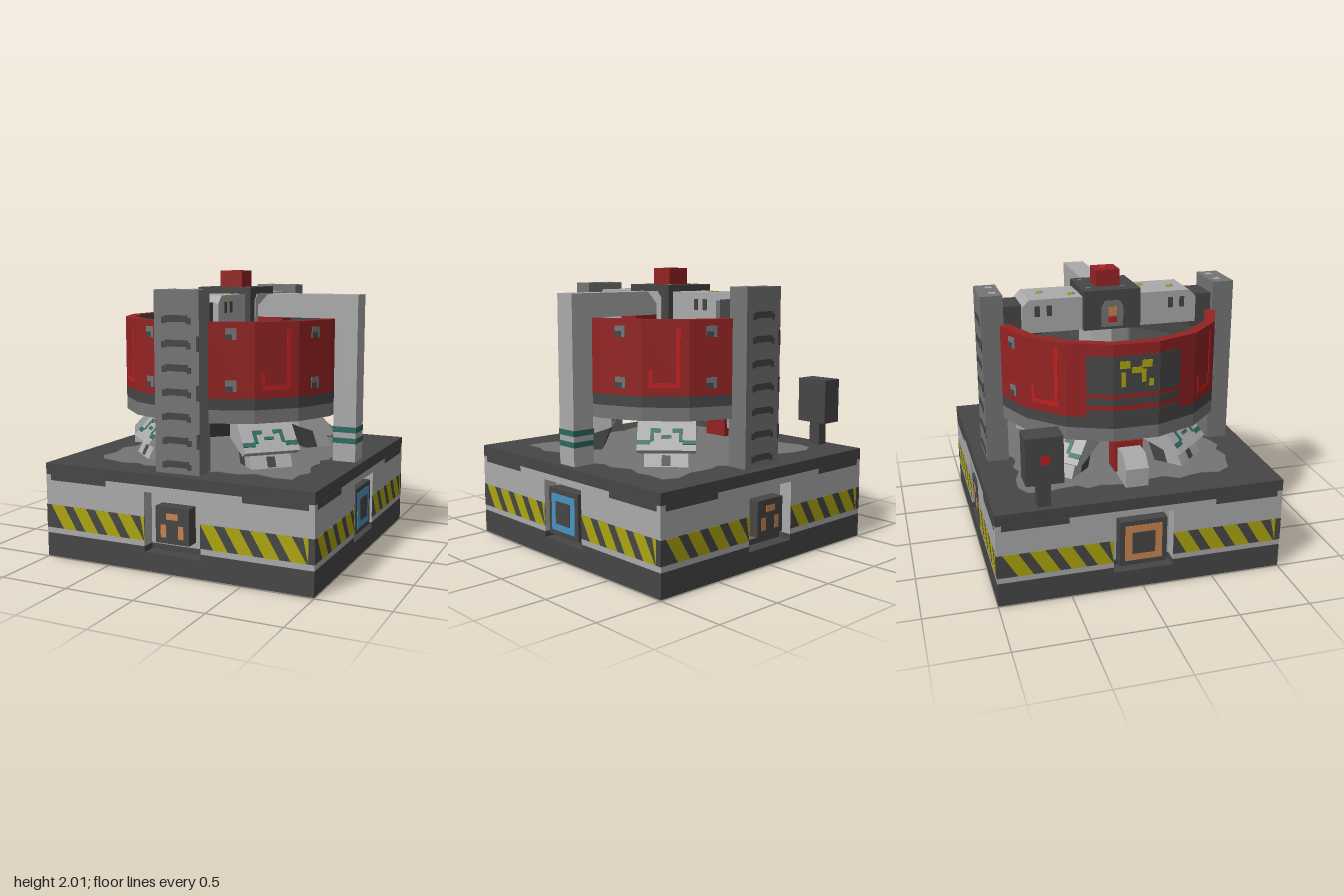
import * as THREE from 'three';

const mat = (name, color) => {
  const m = new THREE.MeshStandardMaterial({ color });
  m.name = name;
  return m;
};
const light = mat('light grey', 0xaaaaaa), mid = mat('mid grey', 0x757575), dark = mat('dark grey', 0x464646);
const red = mat('red', 0x942323), bright = mat('bright red', 0xbe2020), yellow = mat('yellow', 0xaca510);
const green = mat('teal', 0x2d6a5f), blue = mat('blue', 0x4a93c2), orange = mat('orange', 0xc98450);

export function createModel() {
  const model = new THREE.Group();
  model.name = 'waterTankMachine';

  const add = (parent, name, geo, material) => {
    const m = new THREE.Mesh(geo, material);
    m.name = name;
    parent.add(m);
    return m;
  };
  // box given by its limits on each axis
  const box = (parent, name, material, x0, x1, y0, y1, z0, z1) => {
    const g = new THREE.BoxGeometry(x1 - x0, y1 - y0, z1 - z0);
    g.translate((x0 + x1) / 2, (y0 + y1) / 2, (z0 + z1) / 2);
    return add(parent, name, g, material);
  };
  // thin painted plate facing local +z
  const paint = (parent, name, material, x0, x1, y0, y1, z = 0, t = 0.004) =>
    box(parent, name, material, x0, x1, y0, y1, z - 0.002, z + t);
  // thin painted plate facing up
  const topPaint = (name, material, x, z, w, d, y) =>
    box(model, name, material, x - w / 2, x + w / 2, y - 0.002, y + 0.004, z - d / 2, z + d / 2);
  // group whose local +z points outward at the given angle (0 front, 90 right)
  const facing = (name, deg, r = 0) => {
    const g = new THREE.Group(), a = THREE.MathUtils.degToRad(deg);
    g.name = name;
    g.rotation.y = a;
    g.position.set(Math.sin(a) * r, 0, Math.cos(a) * r);
    model.add(g);
    return g;
  };
  const shapeOf = pts => new THREE.Shape(pts.map(p => new THREE.Vector2(p[0], p[1])));
  const extrude = (pts, depth) => new THREE.ExtrudeGeometry(shapeOf(pts), { depth, bevelEnabled: false });
  // profile in (outward, up), extruded sideways
  const profile = (parent, name, material, pts, w) =>
    add(parent, name, extrude(pts, w).translate(0, 0, -w / 2).rotateY(-Math.PI / 2), material);
  const faceted = g => {
    const f = g.toNonIndexed();
    f.computeVertexNormals();
    return f;
  };

  // base: stacked slabs, with a recess in the middle of every side
  const square = [[-1, -1], [1, -1], [1, 1], [-1, 1]];
  const notched = [];
  for (let k = 0; k < 4; k++) {
    const c = Math.round(Math.cos(k * Math.PI / 2)), s = Math.round(Math.sin(k * Math.PI / 2));
    for (const [x, y] of [[-1, -1], [-0.21, -1], [-0.21, -0.9], [0.21, -0.9], [0.21, -1]])
      notched.push([x * c - y * s, x * s + y * c]);
  }
  const slab = (name, material, pts, y0, y1) =>
    add(model, name, extrude(pts, y1 - y0).rotateX(-Math.PI / 2).translate(0, y0, 0), material);
  slab('baseFoot', dark, square, 0, 0.13);
  slab('baseFootUpper', dark, notched, 0.13, 0.17);
  slab('baseBody', light, notched, 0.17, 0.545);
  slab('baseLintel', light, square, 0.545, 0.59);
  slab('baseTop', dark, square, 0.59, 0.67);

  // worn patches on the deck and underneath
  const worn = [];
  for (let i = 0; i < 64; i++) {
    const a = i / 64 * Math.PI * 2, c = Math.cos(a), s = Math.sin(a);
    const r = (0.75 + 0.025 * Math.sin(i * 2.3) + 0.02 * Math.sin(i * 0.9)) / Math.max(Math.abs(c), Math.abs(s));
    worn.push([c * r, s * r]);
  }
  slab('deckWear', mid, worn, 0.668, 0.674);
  slab('undersidePatch', mid, worn.map(p => [p[0] * 0.8, p[1] * 0.8]), -0.003, 0.002);
  slab('undersideSpot', light, worn.map(p => [p[0] * 0.09, p[1] * 0.07]), -0.005, 0.002);

  // hazard stripes, corner trim and recessed panels on the four sides
  for (let k = 0; k < 4; k++) {
    const side = facing('baseSide', k * 90, 1);
    for (const [a, b] of [[-1, -0.165], [0.165, 1]]) {
      const x0 = Math.max(a, -0.96), x1 = Math.min(b, 0.96), cl = x => THREE.MathUtils.clamp(x, a < 0 ? x0 : 0.21, a < 0 ? -0.21 : x1);
      paint(side, 'stripeBand', dark, a < 0 ? a : 0.21, a < 0 ? -0.21 : b, 0.21, 0.375, 0, 0.002);
      for (let x = a - 0.14; x < b; x += 0.18) {
        const p = [[cl(x + 0.1), 0.21], [cl(x + 0.205), 0.21], [cl(x + 0.105), 0.375], [cl(x), 0.375]];
        if (p[1][0] - p[0][0] + p[2][0] - p[3][0] < 0.03) continue;
        add(side, 'hazardStripe', extrude(p, 0.003).translate(0, 0, 0.001), yellow);
      }
    }
    for (const s of [-1, 1])
      paint(side, 'cornerTrim', dark, s < 0 ? -0.96 : 0.51, s < 0 ? -0.51 : 0.96, 0.55, 0.595, 0, 0.002);
    if (k % 2 === 0) {
      // socket block with three lamps
      box(side, 'socketBlock', dark, -0.125, 0.125, 0.21, 0.46, -0.12, -0.004);
      paint(side, 'lamp', orange, -0.043, 0.043, 0.375, 0.417, -0.004);
      for (const s of [-0.065, 0.065]) paint(side, 'lamp', orange, s - 0.02, s + 0.02, 0.25, 0.337, -0.004);
    } else {
      // port block with a coloured frame
      box(side, 'portBlock', dark, -0.165, 0.165, 0.17, 0.5, -0.12, -0.006);
      const c = k === 1 ? blue : orange;
      paint(side, 'portFrame', c, -0.13, 0.13, 0.205, 0.465, -0.006);
      paint(side, 'portCentre', dark, -0.08, 0.08, 0.255, 0.415, -0.002);
    }
  }

  // sixteen-sided tank
  const ring = (name, material, pts) =>
    add(model, name, faceted(new THREE.LatheGeometry(pts.map(p => new THREE.Vector2(p[0], p[1])), 16, Math.PI / 16)), material);
  const R = 0.806;
  ring('tankBottom', dark, [[0.001, 0.95], [R, 1.0]]);
  ring('tankLowerBand', mid, [[R, 1.0], [R, 1.09]]);
  ring('tankDarkBand', dark, [[R, 1.09], [R, 1.165]]);
  ring('tankWall', red, [[R, 1.165], [R, 1.67], [0.73, 1.67]]);
  ring('tankInside', dark, [[0.73, 1.67], [0.73, 1.35], [0.001, 1.25]]);

  // painted marks and bolts on the tank facets
  for (let k = 0; k < 4; k++) {
    const hook = facing('hookMark', 45 + k * 90, 0.79);
    paint(hook, 'hookStem', bright, 0.07, 0.1, 1.22, 1.62);
    paint(hook, 'hookBase', bright, -0.11, 0.07, 1.22, 1.25);
    paint(hook, 'hookTip', bright, -0.11, -0.085, 1.25, 1.34);
  }
  for (let k = 0; k < 8; k++) {
    const deg = 22.5 + k * 45;
    if (deg === 247.5 || deg === 292.5) continue;
    const f = facing('boltedFacet', deg, 0.79);
    for (const y of [1.25, 1.59]) {
      box(f, 'bolt', mid, -0.037, 0.037, y - 0.037, y + 0.037, -0.002, 0.006);
      paint(f, 'boltShade', dark, -0.037, 0.01, y - 0.037, y, 0.006, 0.002);
    }
  }
  for (const [deg, a, b] of [[270, -0.157, 0.157], [247.5, -0.02, 0.157], [292.5, -0.157, 0.02]]) {
    const f = facing('warningPanel', deg, 0.79);
    paint(f, 'panelField', dark, a, b, 1.33, 1.59);
    for (const y of [1.165, 1.25]) paint(f, 'panelStrip', dark, a, b, y, y + 0.05);
    if (deg !== 270) continue;
    for (const [x, y, w, h] of [[-0.08, 1.53, 0.07, 0.05], [0.07, 1.53, 0.07, 0.05], [0, 1.49, 0.07, 0.04], [-0.09, 1.43, 0.03, 0.1], [0.05, 1.45, 0.03, 0.09], [0.1, 1.4, 0.03, 0.05]])
      paint(f, 'warningMark', yellow, x - w / 2, x + w / 2, y - h / 2, y + h / 2, 0.004);
  }

  // splayed legs on the diagonals
  for (let k = 0; k < 4; k++) {
    const leg = facing('leg', 45 + k * 90);
    profile(leg, 'legStrut', dark, [[0.5, 0.67], [0.6, 0.67], [0.5, 0.98], [0.38, 0.98]], 0.3);
    profile(leg, 'legFoot', light, [[0.56, 0.67], [0.72, 0.67], [0.6, 0.9], [0.46, 0.9]], 0.3);
    profile(leg, 'legHood', light, [[0.42, 0.85], [0.68, 0.76], [0.73, 0.79], [0.55, 0.98], [0.42, 0.98]], 0.4);
    const hood = new THREE.Group();
    hood.name = 'hoodMarks';
    hood.position.set(0, 0.885, 0.64);
    hood.rotation.x = -Math.atan2(0.18, 0.19);
    leg.add(hood);
    paint(hood, 'hoodDash', green, -0.035, 0.035, -0.035, -0.01);
    for (const s of [-1, 1]) {
      const bar = (x0, x1, y0, y1) => paint(hood, 'hoodLine', green, Math.min(s * x0, s * x1), Math.max(s * x0, s * x1), y0, y1);
      bar(0.04, 0.11, 0.015, 0.045);
      bar(0.085, 0.11, -0.06, 0.015);
      bar(0.11, 0.2, -0.085, -0.05);
    }
    const slot = new THREE.Group();
    slot.name = 'footSlot';
    slot.position.set(0, 0.72, 0.694);
    slot.rotation.x = -Math.atan2(0.12, 0.23);
    leg.add(slot);
    paint(slot, 'slot', dark, -0.03, 0.03, -0.045, 0.03);
  }

  // front and back pillars with rungs, connectors and roof beams
  for (const deg of [0, 180]) {
    const p = facing('pillarAssembly', deg);
    box(p, 'pillar', mid, -0.165, 0.165, 0.67, 1.88, 0.76, 0.915);
    for (let i = 0; i < 7; i++) {
      const y = 0.735 + i * 0.16;
      paint(p, 'rung', dark, -0.085, 0.085, y - 0.022, y + 0.022, 0.915);
      paint(p, 'rungEnd', dark, -0.11, -0.075, y - 0.03, y + 0.012, 0.915);
      paint(p, 'rungEnd', dark, 0.075, 0.105, y - 0.035, y + 0.005, 0.915);
      if (i % 2) paint(p, 'edgeWear', dark, 0.145, 0.165, y - 0.05, y + 0.05, 0.915);
    }
    box(p, 'connector', dark, -0.125, 0.125, 1.55, 1.79, 0.6, 0.77);
    profile(p, 'roofBeam', light, [[0.2, 1.6], [0.63, 1.6], [0.63, 1.785], [0.58, 1.835], [0.2, 1.835]], 0.33);
    for (const s of [-1, 1]) for (const z of [0.44, 0.525])
      box(p, 'beamSlot', dark, s * 0.166 - 0.003, s * 0.166 + 0.003, 1.715, 1.79, z - 0.018, z + 0.018);
  }
  for (const [x, z] of [[0.02, -0.48], [-0.07, -0.27], [0.06, 0.27], [-0.03, 0.47]]) {
    topPaint('beamPatch', mid, x + 0.02, z + 0.015, 0.04, 0.04, 1.834);
    topPaint('beamSpot', yellow, x, z, 0.04, 0.035, 1.836);
  }
  for (const z of [-0.82, 0.82]) for (const x of [-0.08, 0.08]) topPaint('pillarSpot', light, x, z, 0.045, 0.045, 1.88);

  // central pedestal, hub and beacon
  add(model, 'pedestal', faceted(new THREE.CylinderGeometry(0.19, 0.19, 0.4, 8)).translate(0, 1.42, 0), light);
  box(model, 'hub', dark, -0.205, 0.205, 1.6, 1.88, -0.205, 0.205);
  for (const x of [-0.11, 0.14]) for (const z of [-0.15, 0.1]) topPaint('hubBolt', mid, x, z, 0.025, 0.025, 1.88);
  const hubArch = [[-0.13, 1.61], [0.13, 1.61], [0.13, 1.79], [0.09, 1.835], [-0.09, 1.835], [-0.13, 1.79]];
  add(facing('hubRightPlate', 90, 0.205), 'archPlate', extrude(hubArch, 0.005), light);
  const hubLeft = facing('hubLeftPlate', 270, 0.205);
  add(hubLeft, 'archPlate', extrude(hubArch.map(p => [p[0] * 0.6, p[1] - 0.03]).map(p => [p[0], Math.max(p[1], 1.62)]), 0.005), mid);
  paint(hubLeft, 'hubLamp', orange, -0.03, 0.03, 1.7, 1.76, 0.005);
  paint(hubLeft, 'hubLampRed', bright, -0.03, 0.03, 1.65, 1.69, 0.005);
  box(model, 'beacon', red, -0.085, 0.085, 1.88, 1.996, -0.085, 0.085);
  topPaint('beaconMark', bright, 0, -0.02, 0.08, 0.035, 1.996);
  topPaint('beaconMark', bright, 0.025, 0.012, 0.03, 0.04, 1.996);

  // right-hand pipe arm with teal bands and its red inlet inside the tank
  const arm = facing('pipeArm', 90);
  profile(arm, 'armPipe', light, [[0.2, 1.67], [0.79, 1.67], [0.79, 0.67], [0.955, 0.67], [0.955, 1.835], [0.29, 1.835], [0.2, 1.74]], 0.16);
  box(arm, 'armInlet', red, -0.08, 0.08, 1.3, 1.67, 0.21, 0.4);
  for (const [a, b] of [[0.8, 0.838], [0.877, 0.917]]) box(arm, 'armBand', green, -0.083, 0.083, a, b, 0.787, 0.958);

  // left-hand outlet elbow
  const outlet = facing('outlet', 270);
  profile(outlet, 'outletElbow', light, [[0.62, 0.67], [0.835, 0.67], [0.835, 0.8], [0.755, 0.88], [0.62, 0.88]], 0.16);
  box(outlet, 'outletFlange', red, -0.1, 0.1, 0.7, 0.92, 0.48, 0.63);

  // control box on a stand at the back left corner of the deck
  box(model, 'controlStand', dark, -0.955, -0.875, 0.67, 0.85, -0.71, -0.62);
  box(model, 'controlBox', dark, -0.998, -0.835, 0.845, 1.17, -0.79, -0.54);
  paint(facing('controlFace', 270, 0.996), 'controlButton', bright, -0.69, -0.63, 0.985, 1.045, 0.002, 0.002);

  return model;
}
